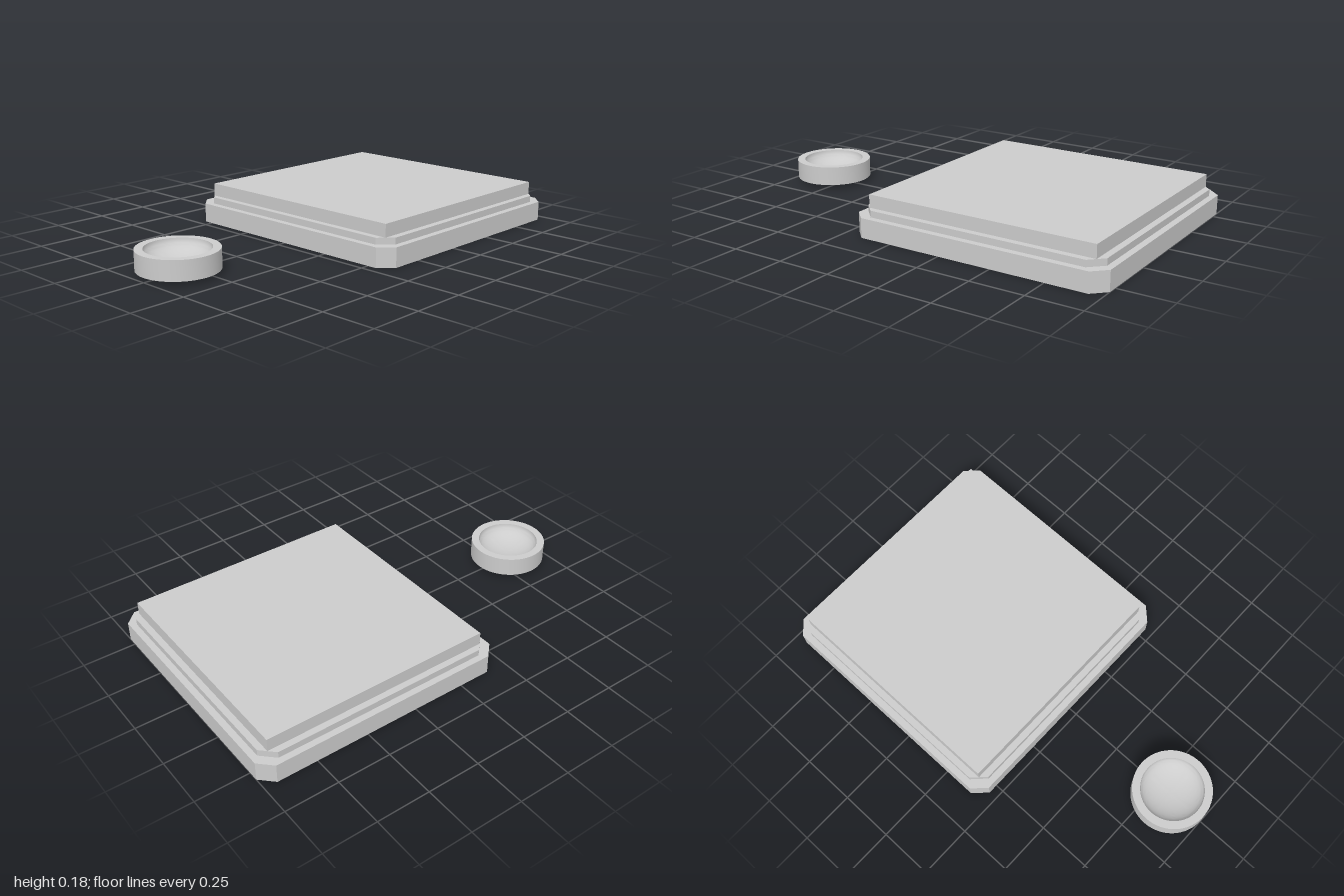
import * as THREE from 'three';
import { toCreasedNormals } from 'three/addons/utils/BufferGeometryUtils.js';

const material = new THREE.MeshStandardMaterial({ color: 0xcccccc });

function addPart(parent, name, geometry) {
  const mesh = new THREE.Mesh(geometry, material);
  mesh.name = name;
  parent.add(mesh);
  return mesh;
}

// Square slab with cut corners, standing on y = 0
function chamferedSlab(half, cut, height) {
  const i = half - cut;
  const outline = [
    [-i, -half], [i, -half], [half, -i], [half, i],
    [i, half], [-i, half], [-half, i], [-half, -i],
  ].map(([x, y]) => new THREE.Vector2(x, y));
  const geometry = new THREE.ExtrudeGeometry(new THREE.Shape(outline), { depth: height, bevelEnabled: false });
  return geometry.rotateX(-Math.PI / 2);
}

// Round dish: flat base, straight wall, flat rim and a rounded hollow
function dishGeometry(radius, hollowRadius, height, depth) {
  const profile = [
    new THREE.Vector2(0, 0),
    new THREE.Vector2(radius, 0),
    new THREE.Vector2(radius, height),
  ];
  const steps = 16;
  for (let k = 0; k <= steps; k++) {
    const a = (k / steps) * Math.PI / 2;
    const r = k === steps ? 0 : hollowRadius * Math.cos(a);
    profile.push(new THREE.Vector2(r, height - depth * Math.sin(a)));
  }
  return toCreasedNormals(new THREE.LatheGeometry(profile, 64), 0.6);
}

export function createModel() {
  const model = new THREE.Group();
  model.name = 'steppedPlatformWithDish';

  // Three stacked layers of the platform
  const platform = new THREE.Group();
  platform.name = 'platform';
  platform.position.set(0.395, 0, 0);
  model.add(platform);
  addPart(platform, 'baseSlab', chamferedSlab(0.605, 0.06, 0.09));
  addPart(platform, 'middleStep', chamferedSlab(0.575, 0.06, 0.03)).position.y = 0.09;
  addPart(platform, 'topSlab', new THREE.BoxGeometry(1.09, 0.06, 1.09)).position.y = 0.15;

  // Separate dish beside the platform
  addPart(model, 'dish', dishGeometry(0.18, 0.144, 0.09, 0.07)).position.set(-0.82, 0.02, 0);

  return model;
}
